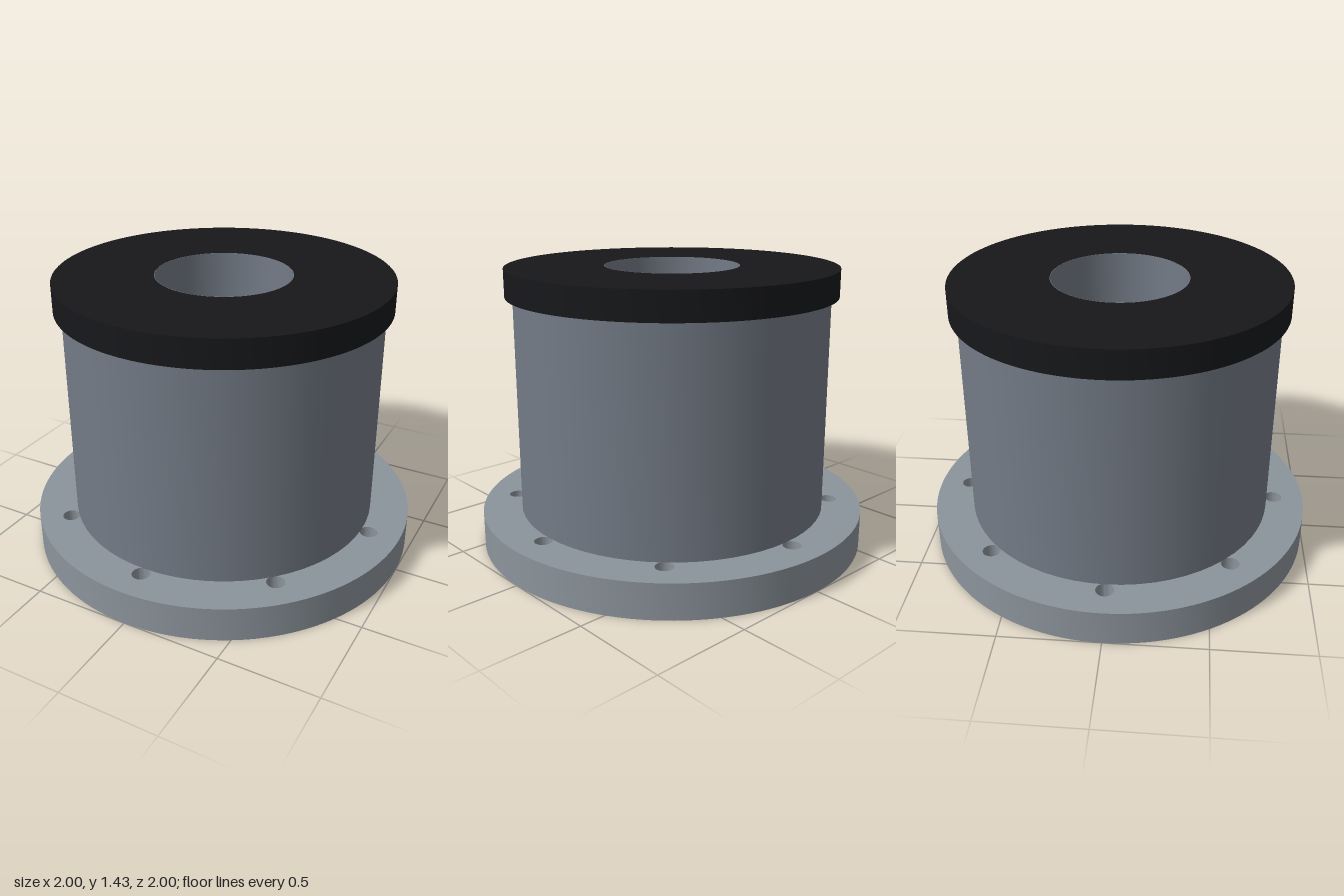
import * as THREE from 'three';
import { toCreasedNormals } from 'three/addons/utils/BufferGeometryUtils.js';

const SEGMENTS = 64;
const BORE = 0.34, SLEEVE = 0.342; // bore radius and outside of the thin bore lining
const FLANGE_TOP = 0.18, CAP_BOTTOM = 1.29, TOP = 1.43;

function part(name, geometry, color) {
  const material = new THREE.MeshStandardMaterial({ color });
  const mesh = new THREE.Mesh(toCreasedNormals(geometry, 0.6), material);
  mesh.name = name;
  return mesh;
}

// Flat ring lying between two heights, with optional bolt holes
function ring(outer, inner, bottom, top, bolts = 0, boltCircle = 0, boltRadius = 0) {
  const shape = new THREE.Shape().absarc(0, 0, outer, 0, Math.PI * 2);
  const addHole = (x, y, r) => shape.holes.push(new THREE.Path().absarc(x, y, r, 0, Math.PI * 2, true));
  addHole(0, 0, inner);
  for (let i = 0; i < bolts; i++) {
    const a = (i / bolts) * Math.PI * 2;
    addHole(Math.cos(a) * boltCircle, Math.sin(a) * boltCircle, boltRadius);
  }
  return new THREE.ExtrudeGeometry(shape, { depth: top - bottom, bevelEnabled: false, curveSegments: SEGMENTS })
    .rotateX(-Math.PI / 2)
    .translate(0, bottom, 0);
}

export function createModel() {
  const model = new THREE.Group();
  model.name = 'flangedBushing';

  // Thick-walled body whose bore lining runs the full height
  const profile = [
    [BORE, 0], [SLEEVE, 0], [SLEEVE, FLANGE_TOP], [0.8, FLANGE_TOP],
    [0.8, CAP_BOTTOM], [SLEEVE, CAP_BOTTOM], [SLEEVE, TOP], [BORE, TOP], [BORE, 0],
  ].map(([r, y]) => new THREE.Vector2(r, y));
  model.add(part('body', new THREE.LatheGeometry(profile, SEGMENTS), 0x737b86));

  // Base flange with eight through holes
  model.add(part('baseFlange', ring(1, SLEEVE, 0, FLANGE_TOP, 8, 0.84, 0.045), 0x8c949c));

  // Dark cap ring
  model.add(part('capRing', ring(0.838, SLEEVE, CAP_BOTTOM, TOP), 0x17181b));

  return model;
}
